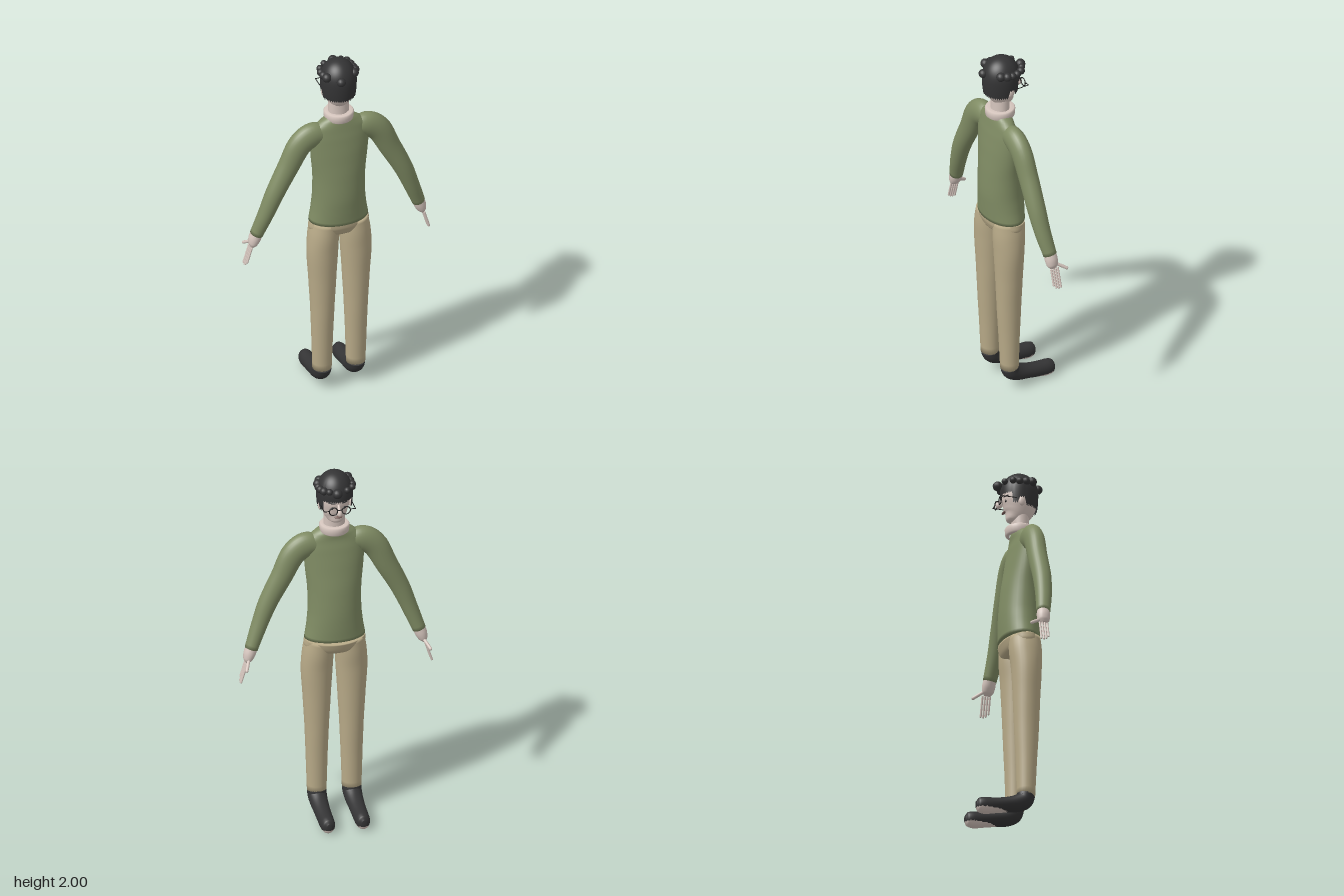
import * as THREE from 'three';
import { mergeVertices } from 'three/addons/utils/BufferGeometryUtils.js';

const V = (x, y, z) => new THREE.Vector3(x, y, z);
const X = V(1, 0, 0), Z = V(0, 0, 1);

// Smooth tube through sections [x, y, z, radius along axis, radius across it]
function loft(sections, axis, rings = 28, seg = 28) {
  const path = new THREE.CatmullRomCurve3(sections.map(s => V(s[0], s[1], s[2])), false, 'centripetal');
  const radii = new THREE.CatmullRomCurve3(sections.map(s => V(s[3], s[4], 0)), false, 'catmullrom', 0.4);
  const pos = [], index = [];
  for (let i = 0; i <= rings; i++) {
    const c = path.getPoint(i / rings), r = radii.getPoint(i / rings);
    const t = path.getTangent(i / rings);
    const b = t.clone().cross(axis).normalize(), a = b.clone().cross(t).normalize();
    for (let j = 0; j < seg; j++) {
      const q = j / seg * Math.PI * 2;
      pos.push(...c.clone().addScaledVector(a, Math.cos(q) * r.x).addScaledVector(b, Math.sin(q) * r.y).toArray());
      if (i === rings) continue;
      const k = i * seg + j, n = i * seg + (j + 1) % seg;
      index.push(k, n, n + seg, k, n + seg, k + seg);
    }
  }
  // end caps
  const last = rings * seg, m = pos.length / 3;
  pos.push(...path.getPoint(0).toArray(), ...path.getPoint(1).toArray());
  for (let j = 0; j < seg; j++) {
    const n = (j + 1) % seg;
    index.push(m, n, j, m + 1, last + j, last + n);
  }
  const g = new THREE.BufferGeometry();
  g.setAttribute('position', new THREE.Float32BufferAttribute(pos, 3));
  g.setIndex(index);
  g.computeVertexNormals();
  return g;
}

// Moves the triangles chosen by test(centroid) into a second material group
function splitGroups(g, test) {
  const p = g.attributes.position, ix = g.index.array, first = [], second = [];
  for (let i = 0; i < ix.length; i += 3) {
    const tri = [ix[i], ix[i + 1], ix[i + 2]], c = V(0, 0, 0);
    tri.forEach(k => c.add(V(p.getX(k), p.getY(k), p.getZ(k))));
    (test(c.divideScalar(3)) ? second : first).push(...tri);
  }
  g.setIndex([...first, ...second]);
  g.addGroup(0, first.length, 0);
  g.addGroup(first.length, second.length, 1);
  return g;
}

// Hair cap with a stepped hairline
function hairCap() {
  const g = new THREE.SphereGeometry(1, 56, 24), p = g.attributes.position, uv = g.attributes.uv;
  for (let i = 0; i < p.count; i++) {
    const q = uv.getX(i) * Math.PI * 2, v = 1 - uv.getY(i), front = -Math.sin(q);
    const hem = front > 0.6 ? 1.86 : front > 0.3 ? 1.8 : front > -0.1 ? 1.83 : 1.788;
    const y = hem + (2 - hem) * Math.cos(v * Math.PI / 2);
    const t = (y - 1.88) / 0.12;
    const r = t > 0 ? Math.sqrt(Math.max(0, 1 - t ** 2.2)) : 1 - 0.13 * t * t;
    p.setXYZ(i, -Math.cos(q) * r * 0.095, y, 0.07 + Math.sin(q) * r * 0.1);
  }
  g.deleteAttribute('normal');
  g.deleteAttribute('uv');
  const merged = mergeVertices(g, 1e-5);
  merged.computeVertexNormals();
  return merged;
}

export function createModel() {
  const root = new THREE.Group();
  root.name = 'standingMan';
  const mat = (name, color, side = THREE.FrontSide) => {
    const m = new THREE.MeshStandardMaterial({ color, side });
    m.name = name;
    return m;
  };
  const skin = mat('skin', 0xd6c6be), sweater = mat('sweaterGreen', 0x808c64);
  const trousers = mat('trouserTan', 0xb8aa88), dark = mat('charcoal', 0x343435, THREE.DoubleSide);
  const black = mat('frameBlack', 0x1c1c1c), lip = mat('lipBrown', 0x7d625c);

  const add = (name, geo, material, x = 0, y = 0, z = 0) => {
    const m = new THREE.Mesh(geo, material);
    m.name = name;
    m.position.set(x, y, z);
    root.add(m);
    return m;
  };
  const rod = (name, a, b, r, material) => {
    const m = add(name, new THREE.CapsuleGeometry(r, a.distanceTo(b), 4, 10), material);
    m.position.copy(a).lerp(b, 0.5);
    m.quaternion.setFromUnitVectors(V(0, 1, 0), b.clone().sub(a).normalize());
    return m;
  };

  // Sweater body
  add('sweaterBody', loft([
    [0, 1.04, 0.068, 0.103, 0.161], [0, 1.12, 0.07, 0.107, 0.148], [0, 1.2, 0.073, 0.108, 0.141],
    [0, 1.32, 0.076, 0.1, 0.142], [0, 1.45, 0.081, 0.084, 0.155], [0, 1.55, 0.084, 0.069, 0.162],
    [0, 1.61, 0.085, 0.058, 0.152], [0, 1.645, 0.082, 0.055, 0.112], [0, 1.672, 0.078, 0.05, 0.07],
  ], Z, 36, 36), sweater);

  // Hips
  add('hips', loft([
    [0, 1.04, 0.068, 0.102, 0.16], [0, 1.0, 0.073, 0.094, 0.163],
    [0, 0.97, 0.078, 0.076, 0.13], [0, 0.95, 0.08, 0.04, 0.06],
  ], Z, 14, 36), trousers);

  for (const s of [1, -1]) {
    const side = s > 0 ? 'left' : 'right';

    // Leg
    add(side + 'Leg', loft([
      [s * 0.08, 1.03, 0.073, 0.085, 0.075], [s * 0.087, 0.95, 0.077, 0.086, 0.082],
      [s * 0.0925, 0.85, 0.08, 0.079, 0.083], [s * 0.0925, 0.68, 0.08, 0.071, 0.073],
      [s * 0.0925, 0.5, 0.08, 0.064, 0.063], [s * 0.093, 0.3, 0.079, 0.054, 0.056],
      [s * 0.093, 0.13, 0.077, 0.048, 0.051],
    ], Z), trousers);

    // Sock-like shoe with a pale front sole
    const shoe = loft([
      [s * 0.093, 0.135, 0.077, 0.051, 0.048], [s * 0.093, 0.105, 0.067, 0.05, 0.047],
      [s * 0.093, 0.083, 0.03, 0.047, 0.045], [s * 0.093, 0.067, -0.03, 0.043, 0.04],
      [s * 0.093, 0.055, -0.09, 0.041, 0.041], [s * 0.093, 0.046, -0.15, 0.039, 0.045],
      [s * 0.093, 0.045, -0.18, 0.032, 0.038], [s * 0.093, 0.045, -0.194, 0.012, 0.018],
    ], X, 44, 36);
    add(side + 'Shoe', splitGroups(shoe, c => c.y < 0.027), [dark, skin]);

    // Sleeve
    add(side + 'Sleeve', loft([
      [s * 0.09, 1.575, 0.084, 0.045, 0.055], [s * 0.15, 1.578, 0.084, 0.051, 0.07],
      [s * 0.212, 1.538, 0.083, 0.052, 0.067], [s * 0.28, 1.41, 0.08, 0.05, 0.058],
      [s * 0.353, 1.265, 0.08, 0.048, 0.05], [s * 0.402, 1.14, 0.072, 0.043, 0.042],
      [s * 0.447, 1.02, 0.056, 0.036, 0.035],
    ], Z, 36), sweater);

    // Palm, fingers and thumb
    add(side + 'Palm', loft([
      [s * 0.443, 1.03, 0.057, 0.033, 0.032], [s * 0.456, 0.995, 0.054, 0.035, 0.032],
      [s * 0.466, 0.965, 0.052, 0.031, 0.025], [s * 0.472, 0.947, 0.051, 0.018, 0.012],
    ], Z, 14, 20), skin);
    [0.838, 0.836, 0.842, 0.856].forEach((tip, i) => {
      const z = 0.027 + i * 0.0135;
      rod(side + 'Finger', V(s * 0.477, 0.944, z), V(s * (0.508 - (tip - 0.836) * 0.3), tip + 0.004, z), 0.0055, skin);
    });
    rod(side + 'Thumb', V(s * 0.466, 0.965, 0.03), V(s * 0.489, 0.932, -0.02), 0.0085, skin);

    // Ear, eye and half of the glasses
    add(side + 'Ear', new THREE.SphereGeometry(1, 14, 10), skin, s * 0.081, 1.815, 0.06).scale.set(0.01, 0.025, 0.017);
    add(side + 'Eye', new THREE.SphereGeometry(1, 12, 8), black, s * 0.033, 1.826, -0.012).scale.set(0.007, 0.007, 0.004);
    rod(side + 'Brow', V(s * 0.02, 1.855, -0.017), V(s * 0.046, 1.855, -0.004), 0.004, dark);
    add(side + 'LensFrame', new THREE.TorusGeometry(0.022, 0.0028, 8, 24), black, s * 0.034, 1.825, -0.044);
    rod(side + 'FrameHinge', V(s * 0.057, 1.83, -0.045), V(s * 0.083, 1.83, -0.045), 0.0022, black);
    rod(side + 'Temple', V(s * 0.083, 1.83, -0.046), V(s * 0.083, 1.83, 0.04), 0.0022, black);
  }

  // Neck and rolled collar
  add('neck', loft([
    [0, 1.64, 0.076, 0.048, 0.057], [0, 1.7, 0.075, 0.046, 0.056], [0, 1.79, 0.073, 0.048, 0.056],
  ], Z, 10), skin);
  const collar = [[0.055, 1.65], [0.07, 1.648], [0.077, 1.655], [0.078, 1.673], [0.079, 1.688], [0.073, 1.696], [0.05, 1.695]];
  add('collar', new THREE.LatheGeometry(collar.map(p => new THREE.Vector2(...p)), 32), skin, 0, 0, 0.075);

  // Head and face
  add('head', loft([
    [0, 1.722, 0.035, 0.02, 0.018], [0, 1.732, 0.037, 0.04, 0.038], [0, 1.765, 0.055, 0.068, 0.06],
    [0, 1.82, 0.07, 0.089, 0.077], [0, 1.88, 0.07, 0.09, 0.081], [0, 1.94, 0.07, 0.07, 0.066],
    [0, 1.97, 0.07, 0.03, 0.03],
  ], Z, 24), skin);
  add('nose', loft([
    [0, 1.848, -0.018, 0.006, 0.006], [0, 1.825, -0.03, 0.014, 0.009],
    [0, 1.808, -0.039, 0.02, 0.015], [0, 1.797, -0.034, 0.012, 0.01],
  ], Z, 12, 14), skin);
  add('mouth', new THREE.SphereGeometry(1, 14, 8), lip, 0, 1.772, -0.014).scale.set(0.022, 0.006, 0.008);
  rod('glassesBridge', V(-0.012, 1.83, -0.046), V(0.012, 1.83, -0.046), 0.0025, black);

  // Hair cap and ring of curls [x, y, z, radius]
  add('hair', hairCap(), dark);
  const curls = [
    [0.012, 1.925, -0.042, 0.026], [0.05, 1.932, -0.025, 0.018], [0.075, 1.93, -0.005, 0.021],
    [0.087, 1.927, 0.025, 0.02], [0.09, 1.925, 0.055, 0.02], [0.086, 1.928, 0.085, 0.024],
    [0.07, 1.93, 0.115, 0.025], [-0.02, 1.92, 0.166, 0.024], [-0.08, 1.932, 0.115, 0.025],
    [-0.086, 1.928, 0.08, 0.022], [-0.088, 1.925, 0.045, 0.02], [-0.08, 1.928, 0.012, 0.018],
    [-0.045, 1.93, -0.022, 0.017],
  ];
  curls.forEach(([x, y, z, r]) => add('curl', new THREE.SphereGeometry(r, 14, 10), dark, x, y, z));

  return root;
}
